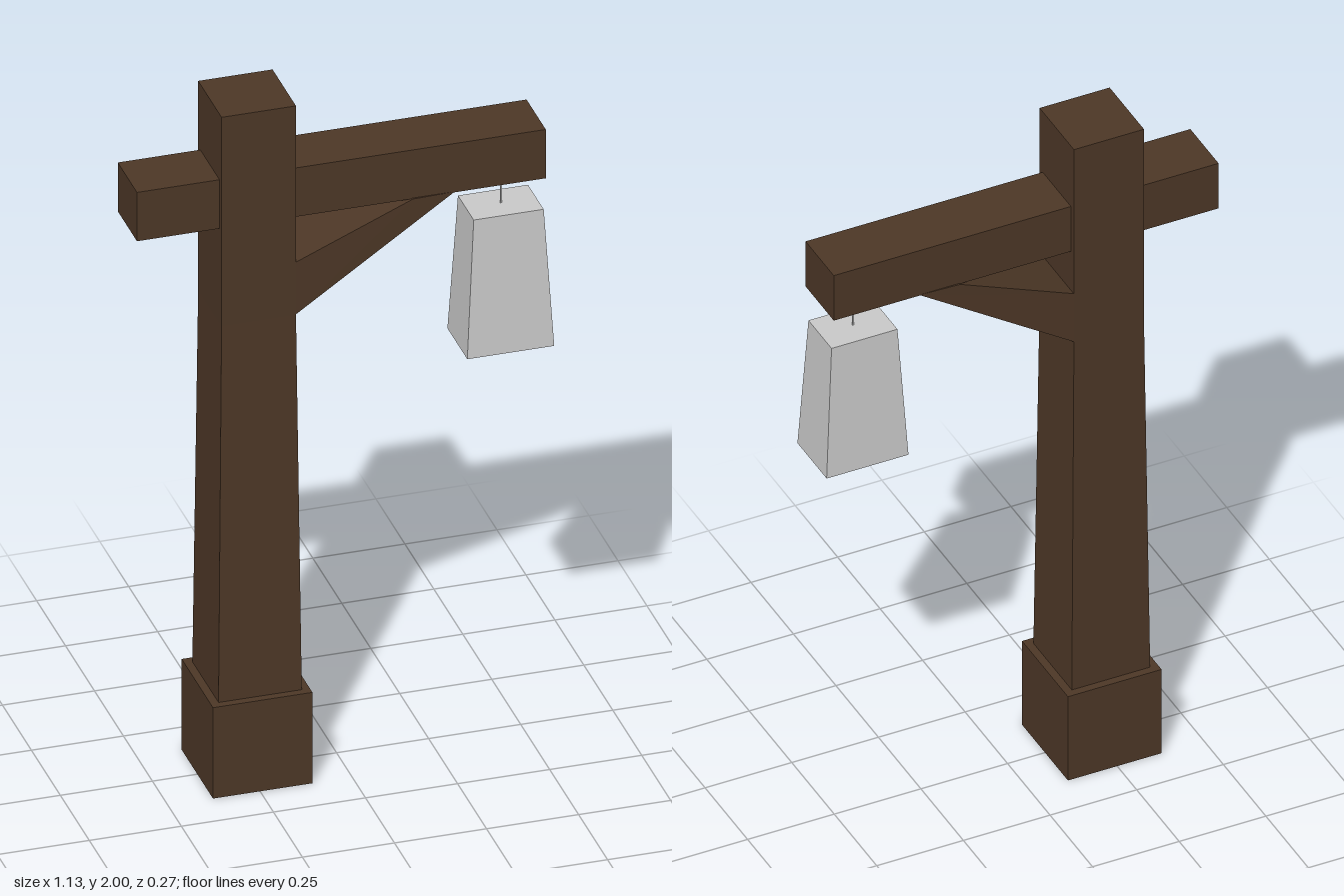
import * as THREE from 'three';

const wood = new THREE.MeshStandardMaterial({ color: 0x4e3827, flatShading: true });
const grey = new THREE.MeshStandardMaterial({ color: 0xcccccc, flatShading: true });

// Six-sided block whose corners are placed by rule(sx, sy, sz), each sign being -1 or 1
function block(name, material, rule) {
  const geometry = new THREE.BoxGeometry(2, 2, 2);
  const p = geometry.attributes.position;
  for (let i = 0; i < p.count; i++) p.setXYZ(i, ...rule(p.getX(i), p.getY(i), p.getZ(i)));
  geometry.computeVertexNormals();
  const mesh = new THREE.Mesh(geometry, material);
  mesh.name = name;
  return mesh;
}

// Upright block tapering from half sizes [x, z] at y0 to half sizes [x, z] at y1
function taper(name, material, cx, y0, y1, low, high) {
  return block(name, material, (sx, sy, sz) => {
    const [hx, hz] = sy < 0 ? low : high;
    return [cx + sx * hx, sy < 0 ? y0 : y1, sz * hz];
  });
}

export function createModel() {
  const group = new THREE.Group();
  group.name = 'lanternPost';
  const postX = -0.243, lanternX = 0.446;

  // Foot and post: the lower shaft narrows, the upper shaft is straight
  group.add(taper('foot', wood, postX, 0, 0.27, [0.135, 0.135], [0.135, 0.135]));
  group.add(taper('lowerPost', wood, postX, 0.27, 1.38, [0.113, 0.113], [0.101, 0.101]));
  group.add(taper('upperPost', wood, postX, 1.38, 2, [0.101, 0.101], [0.101, 0.101]));

  // Crossbeam through the post
  group.add(taper('crossbeam', wood, -0.013, 1.66, 1.805, [0.555, 0.083], [0.555, 0.083]));

  // Diagonal brace, narrowing from the post to the beam
  group.add(block('brace', wood, (sx, sy, sz) => {
    if (sx < 0) return [-0.142, sy < 0 ? 1.38 : 1.535, sz * 0.1];
    return sy < 0 ? [0.295, 1.662, sz * 0.083] : [0.18, 1.662, sz * 0.088];
  }));

  // Hanging lantern
  group.add(taper('hangingWire', grey, lanternX, 1.56, 1.66, [0.002, 0.002], [0.002, 0.002]));
  group.add(taper('lantern', grey, lanternX, 1.16, 1.56, [0.118, 0.086], [0.095, 0.068]));

  return group;
}
